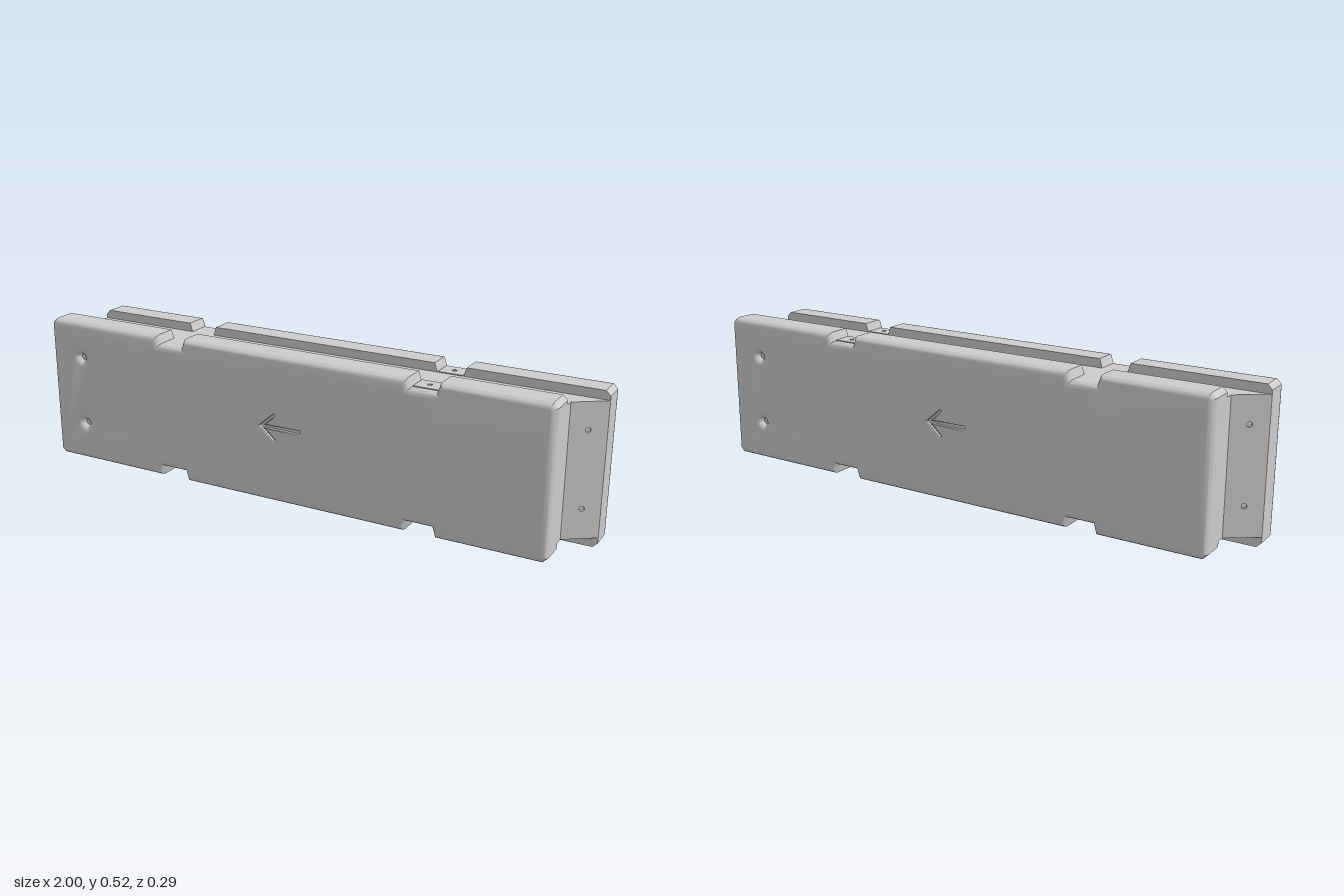
import * as THREE from 'three';
import { toCreasedNormals } from 'three/addons/utils/BufferGeometryUtils.js';

const material = new THREE.MeshStandardMaterial({ color: 0xcccccc });
const MID = 0.26, TOP = 0.52, FLOOR_TOP = 0.49, FLOOR_BOTTOM = 0.035;
const INNER = 0.05, THICK = 0.095, ROUND = 0.022;

function add(parent, name, geometry, x = 0, y = 0, z = 0) {
  const mesh = new THREE.Mesh(geometry, material);
  mesh.name = name;
  mesh.position.set(x, y, z);
  parent.add(mesh);
  return mesh;
}

const polygon = (points) => points.map(([x, y]) => new THREE.Vector2(x, y));

function rectangle(w, h, x = 0, y = 0) {
  return polygon([[x - w / 2, y - h / 2], [x + w / 2, y - h / 2], [x + w / 2, y + h / 2], [x - w / 2, y + h / 2]]);
}

function circle(x, y, r) {
  return new THREE.Path().absarc(x, y, r, 0, Math.PI * 2, true);
}

// Thin plate with small round pin holes
function pinPlate(w, h, t, holeYs, r) {
  const shape = new THREE.Shape(rectangle(w, h));
  for (const y of holeYs) shape.holes.push(circle(0, y, r));
  return new THREE.ExtrudeGeometry(shape, { depth: t, bevelEnabled: false, curveSegments: 8 });
}

// One side slab: outline with strap notches, rounded outer edge, sharp inner edge
function slabGeometry(holeYs, windowBox) {
  const x0 = -1, x1 = 0.9, c = 0.016;
  const points = [[x0, TOP - c], [x0, c], [x0 + c, 0]];
  const notches = [-0.48, 0.47];
  for (const n of notches) {
    points.push([n - 0.055, 0], [n - 0.045, FLOOR_BOTTOM], [n + 0.045, FLOOR_BOTTOM], [n + 0.055, 0]);
  }
  points.push([x1 - c, 0], [x1, c], [x1, TOP - c], [x1 - c, TOP]);
  for (const n of [...notches].reverse()) {
    points.push([n + 0.055, TOP], [n + 0.045, FLOOR_TOP], [n - 0.045, FLOOR_TOP], [n - 0.055, TOP]);
  }
  points.push([x0 + c, TOP]);

  const shape = new THREE.Shape(polygon(points));
  for (const y of holeYs) shape.holes.push(circle(-0.87, y, 0.012));
  const [w, h, x, y] = windowBox;
  shape.holes.push(new THREE.Path(rectangle(w - 2 * ROUND, h - 2 * ROUND, x, y)));

  const geometry = new THREE.ExtrudeGeometry(shape, {
    depth: THICK - ROUND, bevelThickness: ROUND, bevelSize: ROUND,
    bevelOffset: -ROUND, bevelSegments: 4, curveSegments: 10,
  });
  // Flatten the inner bevel into a plane
  const p = geometry.attributes.position;
  for (let i = 0; i < p.count; i++) p.setZ(i, Math.max(0, p.getZ(i)));
  return toCreasedNormals(geometry, 0.6);
}

// Flush panel with a recessed direction arrow
function arrowPanel(w, h) {
  const b = 0.005;
  const shape = new THREE.Shape(rectangle(w + 2 * b, h + 2 * b));
  shape.holes.push(new THREE.Path(polygon([
    [-0.08, 0], [-0.025, 0.048], [-0.02, 0.042], [-0.062, 0.005], [0.075, 0.006],
    [0.075, -0.006], [-0.062, -0.005], [-0.02, -0.042], [-0.025, -0.048],
  ])));
  return new THREE.ExtrudeGeometry(shape, {
    depth: 0.005, bevelThickness: b, bevelSize: b, bevelOffset: -b, bevelSegments: 2,
  });
}

function createSide(name) {
  const side = new THREE.Group();
  side.name = name;
  const holeYs = [0.14, 0.39];
  const windowBox = [0.24, 0.17, -0.04, 0.27];
  const [w, h, x, y] = windowBox;
  add(side, 'slab', slabGeometry(holeYs, windowBox), 0, 0, INNER);

  const face = INNER + THICK;
  add(side, 'arrowPanel', arrowPanel(w, h), x, y, face - 0.01);
  add(side, 'arrowFloor', new THREE.PlaneGeometry(w - 0.02, h - 0.02), x, y, face - 0.009);
  for (const hy of holeYs) {
    add(side, 'dimpleFloor', new THREE.CircleGeometry(0.016, 20), -0.87, hy, face - ROUND + 0.001);
  }

  // Slanted end plate filling the step beside the opposite slab
  const plate = add(side, 'endPlate', pinPlate(0.122, FLOOR_TOP - FLOOR_BOTTOM, 0.01, [-0.125, 0.135], 0.009));
  const angle = Math.atan2(0.07, 0.1);
  plate.rotation.y = angle;
  plate.position.set(0.95 - Math.sin(angle) * 0.01, (FLOOR_TOP + FLOOR_BOTTOM) / 2, -0.015 - Math.cos(angle) * 0.01);
  return side;
}

export function createModel() {
  const model = new THREE.Group();
  model.name = 'barrierBlock';

  // Recessed core between the two slabs
  const plan = [[-0.983, 0.05], [0.9, 0.05], [0.9, 0.008], [0.983, -0.05], [-0.9, -0.05], [-0.9, -0.008]];
  const core = new THREE.ExtrudeGeometry(
    new THREE.Shape(polygon(plan.map(([x, z]) => [x, -z]))),
    { depth: FLOOR_TOP - FLOOR_BOTTOM, bevelEnabled: false });
  core.rotateX(-Math.PI / 2);
  add(model, 'core', core, 0, FLOOR_BOTTOM, 0);

  // The back half is the front half turned around
  const back = createSide('backSide');
  back.rotation.y = Math.PI;
  model.add(createSide('frontSide'), back);

  // Pin plates on the notch floors, above and below
  for (const s of [1, -1]) {
    const x = s > 0 ? 0.47 : 0.48;
    for (const up of [1, -1]) {
      const plate = add(model, 'notchPlate', pinPlate(0.086, 0.07, 0.003, [0], 0.008),
        x, up > 0 ? FLOOR_TOP : FLOOR_BOTTOM, s * 0.085);
      plate.rotation.x = -up * Math.PI / 2;
    }
  }
  return model;
}
